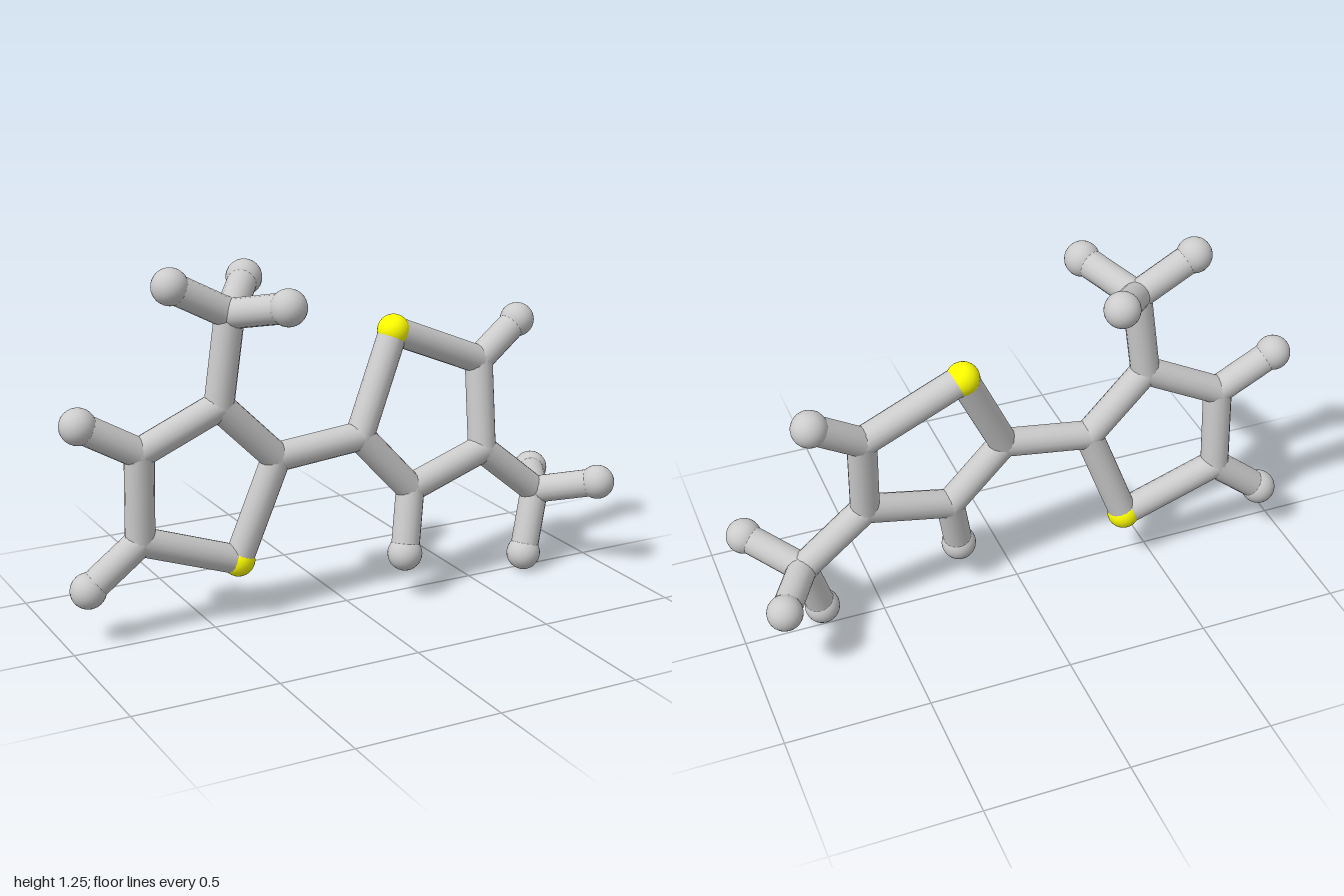
import * as THREE from 'three';

const GREY = new THREE.MeshStandardMaterial({ color: 0xcccccc });
const YELLOW = new THREE.MeshStandardMaterial({ color: 0xffff00 });
const BOND_RADIUS = 0.05;
const UP = new THREE.Vector3(0, 1, 0);

// Atom positions by name: c = carbon joint, s = sulfur, h = hydrogen.
const ATOMS = {
  // left ring
  cA2: [-0.26, 0.565, -0.01], cA3: [-0.47, 0.775, 0], cA4: [-0.74, 0.645, -0.03],
  cA5: [-0.74, 0.335, -0.05], sA: [-0.39, 0.21, -0.045],
  hA4: [-0.94, 0.76, -0.04], hA5: [-0.92, 0.19, -0.065],
  // upper methyl
  cMethylA: [-0.43, 1.08, 0.01], hMethylA1: [-0.635, 1.19, 0.013],
  hMethylA2: [-0.3, 1.155, -0.16], hMethylA3: [-0.32, 1.13, 0.217],
  // right ring
  cB2: [0.045, 0.6, 0.01], cB3: [0.24, 0.385, 0.02], cB4: [0.55, 0.475, -0.01],
  cB5: [0.56, 0.79, -0.06], sB: [0.205, 0.94, -0.045],
  hB3: [0.197, 0.165, 0.062], hB5: [0.735, 0.91, -0.09],
  // lower methyl
  cMethylB: [0.78, 0.285, -0.01], hMethylB1: [0.715, 0.063, 0.027],
  hMethylB2: [0.935, 0.34, 0.16], hMethylB3: [0.897, 0.293, -0.215],
};

// Chains of bonded atoms.
const CHAINS = [
  ['cA2', 'cA3', 'cA4', 'cA5', 'sA', 'cA2'],
  ['cB2', 'cB3', 'cB4', 'cB5', 'sB', 'cB2'],
  ['cA2', 'cB2'],
  ['cA4', 'hA4'], ['cA5', 'hA5'], ['cB3', 'hB3'], ['cB5', 'hB5'],
  ['cA3', 'cMethylA', 'hMethylA1'], ['hMethylA2', 'cMethylA', 'hMethylA3'],
  ['cB4', 'cMethylB', 'hMethylB1'], ['hMethylB2', 'cMethylB', 'hMethylB3'],
];

const KINDS = {
  c: { name: 'carbon', radius: BOND_RADIUS, material: GREY },
  s: { name: 'sulfur', radius: 0.057, material: YELLOW },
  h: { name: 'hydrogen', radius: 0.061, material: GREY },
};

// Cylinder joining two atom centres
function makeBond(from, to) {
  const a = new THREE.Vector3(...ATOMS[from]);
  const b = new THREE.Vector3(...ATOMS[to]);
  const dir = b.clone().sub(a);
  const geometry = new THREE.CylinderGeometry(BOND_RADIUS, BOND_RADIUS, dir.length(), 16, 1, true);
  const bond = new THREE.Mesh(geometry, GREY);
  bond.name = 'bond';
  bond.position.copy(a).add(b).multiplyScalar(0.5);
  bond.quaternion.setFromUnitVectors(UP, dir.normalize());
  return bond;
}

export function createModel() {
  const model = new THREE.Group();
  model.name = 'molecule';

  // Atoms
  for (const [key, position] of Object.entries(ATOMS)) {
    const kind = KINDS[key[0]];
    const atom = new THREE.Mesh(new THREE.SphereGeometry(kind.radius, 24, 16), kind.material);
    atom.name = kind.name;
    atom.position.set(...position);
    model.add(atom);
  }

  // Bonds
  for (const chain of CHAINS) {
    for (let i = 1; i < chain.length; i++) model.add(makeBond(chain[i - 1], chain[i]));
  }
  return model;
}
